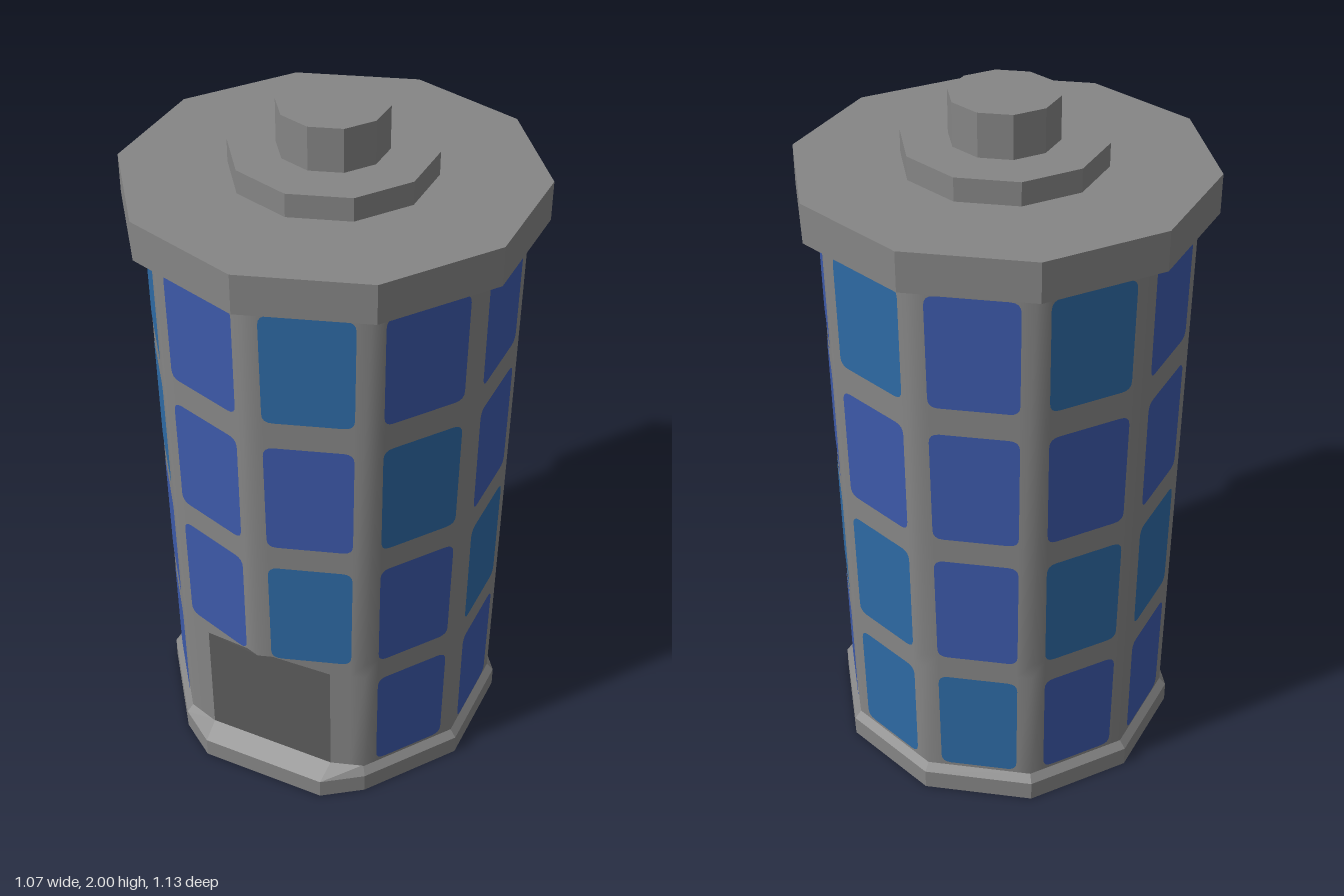
import * as THREE from 'three';

const SIDES = 10, STEP = Math.PI * 2 / SIDES, COS = Math.cos(STEP / 2), TAN = Math.tan(STEP / 2);

// Tower radius at height y (it widens slightly upwards)
const radiusAt = y => 0.49 + 0.02 * (y - 0.06) / 1.65;
const polar = (r, a) => [r * Math.sin(a), r * Math.cos(a)];

// Skins the quads between stacked rings of [x, y, z]; keep(row, column) picks which
function loft(rings, keep, flat, cap = false) {
  const n = rings[0].length, index = [];
  for (let r = 0; r < rings.length - 1; r++) for (let i = 0; i < n; i++) {
    if (!keep(r, i)) continue;
    const j = (i + 1) % n, a = r * n + i, b = r * n + j;
    index.push(a, b, b + n, a, b + n, a + n);
  }
  if (cap) for (let i = 1; i < n - 1; i++) index.push(0, i + 1, i);
  let g = new THREE.BufferGeometry();
  g.setAttribute('position', new THREE.Float32BufferAttribute(rings.flat(2), 3));
  g.setIndex(index);
  if (flat) g = g.toNonIndexed();
  g.computeVertexNormals();
  return g;
}

// Tower ring: each corner has a point on either side; the front corner can be cut flat
function towerRing(y, frontHalf, cut) {
  const R = radiusAt(y), ring = [];
  for (let k = 0; k < SIDES; k++) {
    const a = k * STEP;
    const half = k === 0 ? frontHalf : 0.04;
    const zSide = R - half * TAN;
    const zMid = k === 0 && cut ? zSide : R;
    for (const [u, z] of [[-half, zSide], [0, zMid], [half, zSide]]) {
      ring.push([u * Math.cos(a) + z * Math.sin(a), y, z * Math.cos(a) - u * Math.sin(a)]);
    }
  }
  return ring;
}

// Rounded window plate lying on the sloped wall
function windowGeometry(y0, y1, angle) {
  const r = 0.028, w0 = 0.11 + 0.006 * y0, w1 = 0.11 + 0.006 * y1;
  const s = new THREE.Shape();
  s.moveTo(-w0 + r, y0);
  s.lineTo(w0 - r, y0);
  s.quadraticCurveTo(w0, y0, w0, y0 + r);
  s.lineTo(w1, y1 - r);
  s.quadraticCurveTo(w1, y1, w1 - r, y1);
  s.lineTo(-w1 + r, y1);
  s.quadraticCurveTo(-w1, y1, -w1, y1 - r);
  s.lineTo(-w0, y0 + r);
  s.quadraticCurveTo(-w0, y0, -w0 + r, y0);
  const g = new THREE.ShapeGeometry(s, 4), p = g.attributes.position;
  for (let i = 0; i < p.count; i++) p.setZ(i, radiusAt(p.getY(i)) * COS + 0.003);
  g.computeVertexNormals();
  return g.rotateY(angle);
}

export function createModel() {
  const model = new THREE.Group();
  const material = (name, color, flatShading = false) => {
    const m = new THREE.MeshStandardMaterial({ color });
    m.name = name;
    m.flatShading = flatShading;
    return m;
  };
  const concrete = material('concrete grey', 0x868686);
  const doorGrey = material('door grey', 0x5c5c5c);
  const blue = material('blue glass', 0x3d5aab);
  const teal = material('teal glass', 0x2e6ba6);
  const add = (name, geometry, mat, parent = model) => {
    const mesh = new THREE.Mesh(geometry, mat);
    mesh.name = name;
    parent.add(mesh);
    return mesh;
  };

  // Tower wall and the recessed doorway cut into its front corner
  const rings = [
    towerRing(0.06, 0.195, true), towerRing(0.46, 0.195, true),
    towerRing(0.51, 0.04, false), towerRing(1.72, 0.04, false),
  ];
  const isDoor = (row, col) => row < 2 && col < 2;
  add('towerWall', loft(rings, (r, c) => !isDoor(r, c), false), concrete);
  add('doorway', loft(rings, isDoor, true), doorGrey);

  // Plinth with a bevelled top and a flat doorstep at the front
  const plinthRing = (y, r, x, z) => {
    const ring = [[x, y, z]];
    for (let k = 1; k < SIDES; k++) {
      const [px, pz] = polar(r, k * STEP);
      ring.push([px, y, pz]);
    }
    ring.push([-x, y, z]);
    return ring;
  };
  add('plinth', loft([
    plinthRing(0, 0.51, 0.19, 0.49),
    plinthRing(0.06, 0.51, 0.19, 0.49),
    plinthRing(0.085, 0.488, 0.195, 0.425),
  ], () => true, true, true), concrete);

  // Stepped roof slabs
  const slab = (name, radius, y0, y1) => {
    const g = new THREE.CylinderGeometry(radius, radius, y1 - y0, SIDES).toNonIndexed();
    g.computeVertexNormals();
    add(name, g.translate(0, (y0 + y1) / 2, 0), concrete);
  };
  slab('roofSlab', 0.563, 1.705, 1.815);
  slab('roofStep', 0.274, 1.815, 1.88);
  slab('roofCap', 0.147, 1.88, 2);

  // Windows: one string per wall going round from the front, top row first
  const rows = [[1.35, 1.675], [0.93, 1.27], [0.51, 0.855], [0.095, 0.435]];
  const walls = ['TBT-', 'BTBB', 'BBTB', 'BBTB', 'TBTT', 'BBBT', 'TBTB', 'BBTB', 'TTBB', 'BBB-'];
  const windows = new THREE.Group();
  windows.name = 'windows';
  model.add(windows);
  walls.forEach((wall, k) => rows.forEach(([y0, y1], r) => {
    if (wall[r] === '-') return;
    add('window', windowGeometry(y0, y1, (k + 0.5) * STEP), wall[r] === 'T' ? teal : blue, windows);
  }));

  return model;
}
